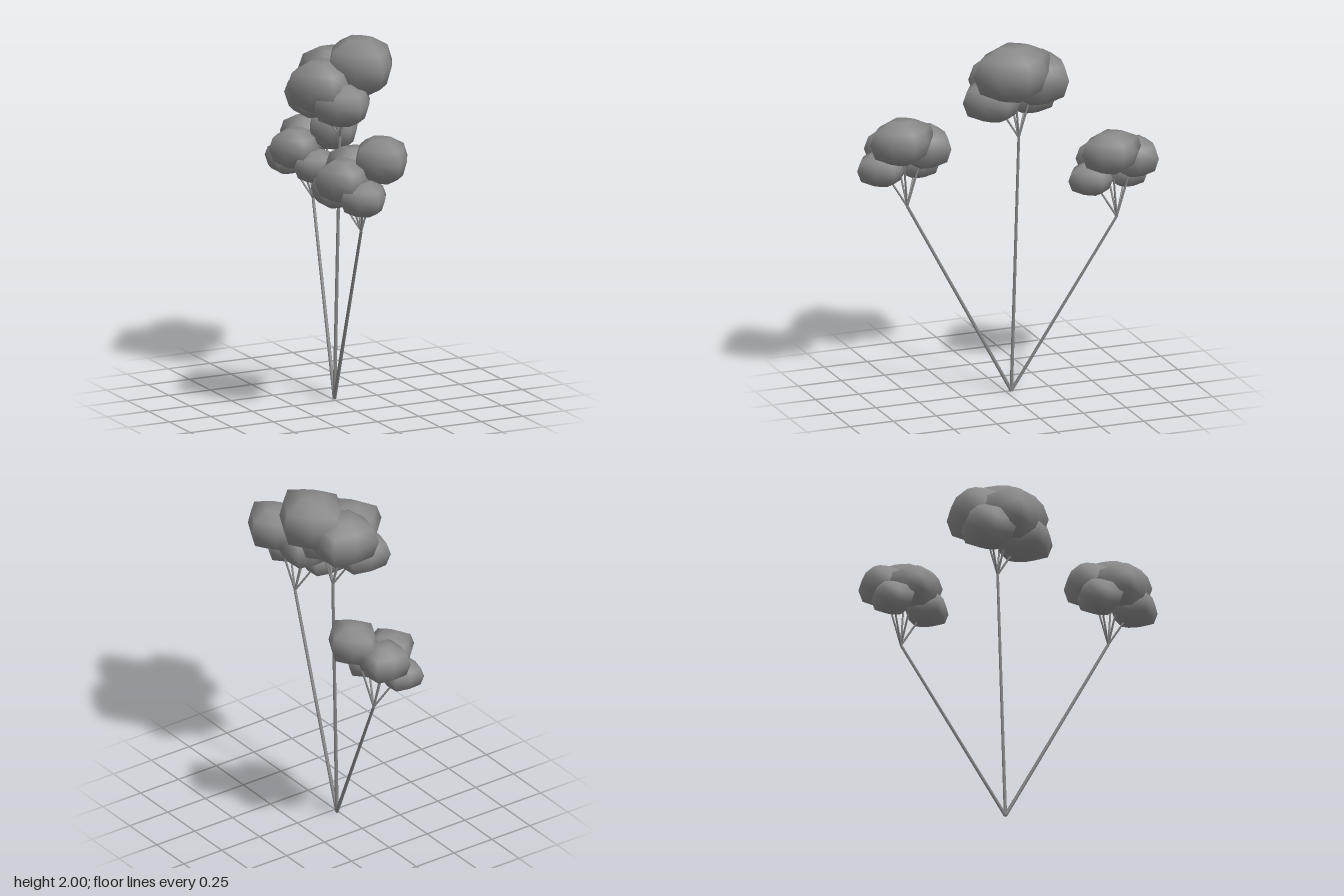
import * as THREE from 'three';
import { mergeVertices } from 'three/addons/utils/BufferGeometryUtils.js';

const grey = new THREE.MeshStandardMaterial({ color: 0x888888 });
grey.name = 'plain grey';

// Flattened foliage lump: lathe profile squeezed to a rounded diamond in plan
function makeFoliageGeometry() {
  const profile = [[0, -0.97], [0.34, -1], [0.84, -0.62], [1, 0.05], [0.86, 0.62], [0.36, 1], [0, 0.97]]
    .map(([r, y]) => new THREE.Vector2(r, y));
  let geo = new THREE.LatheGeometry(profile, 8);
  const p = geo.attributes.position;
  for (let i = 0; i < p.count; i++) {
    const x = p.getX(i), z = p.getZ(i);
    const a = Math.atan2(x, z);
    const k = 0.905 + 0.095 * Math.cos(4 * a);
    p.setX(i, x * k);
    p.setZ(i, z * k);
  }
  geo.deleteAttribute('normal');
  geo.deleteAttribute('uv');
  geo = mergeVertices(geo, 1e-4);
  geo.computeVertexNormals();
  return geo;
}

// Straight tapered rod between two points
function rod(name, from, to, r0, r1, sides) {
  const dir = to.clone().sub(from);
  const geo = new THREE.CylinderGeometry(r1, r0, dir.length(), sides);
  const mesh = new THREE.Mesh(geo, grey);
  mesh.name = name;
  mesh.position.copy(from).addScaledVector(dir, 0.5);
  mesh.quaternion.setFromUnitVectors(new THREE.Vector3(0, 1, 0), dir.normalize());
  return mesh;
}

// Foliage layout: offset from the trunk top, half sizes, turn about y
const lumps = [
  { name: 'topFoliage', at: [0.09, 0.40, 0.065], size: [0.2, 0.15, 0.24], turn: 0.08 },
  { name: 'backFoliage', at: [0.005, 0.33, -0.10], size: [0.2, 0.14, 0.2], turn: 0.7 },
  { name: 'sideFoliage', at: [-0.12, 0.30, 0.025], size: [0.2, 0.14, 0.21], turn: -0.15 },
  { name: 'lowerFrontFoliage', at: [-0.05, 0.215, 0.125], size: [0.18, 0.115, 0.19], turn: 0.12 },
  { name: 'lowerBackFoliage', at: [-0.11, 0.215, -0.10], size: [0.17, 0.11, 0.17], turn: 0.7 },
];

// Three trunks spreading from one foot
const trees = [
  { name: 'frontTree', top: [-0.11, 1.08, 0.525], scale: 0.81 },
  { name: 'middleTree', top: [0.055, 1.45, -0.055], scale: 1 },
  { name: 'backTree', top: [0.16, 0.97, -0.58], scale: 0.75 },
];

export function createModel() {
  const model = new THREE.Group();
  model.name = 'treeCluster';
  const foliage = makeFoliageGeometry();
  const foot = new THREE.Vector3(0.01, 0.005, -0.03);

  for (const t of trees) {
    const tree = new THREE.Group();
    tree.name = t.name;
    const top = new THREE.Vector3(...t.top);
    tree.add(rod('trunk', foot, top, 0.01, 0.008, 6));
    for (const l of lumps) {
      const centre = top.clone().add(new THREE.Vector3(...l.at));
      tree.add(rod('branch', top, centre, 0.006, 0.005, 5));
      const lump = new THREE.Mesh(foliage, grey);
      lump.name = l.name;
      lump.position.copy(centre);
      lump.scale.set(...l.size).multiplyScalar(t.scale);
      lump.rotation.y = l.turn;
      tree.add(lump);
    }
    model.add(tree);
  }
  return model;
}
